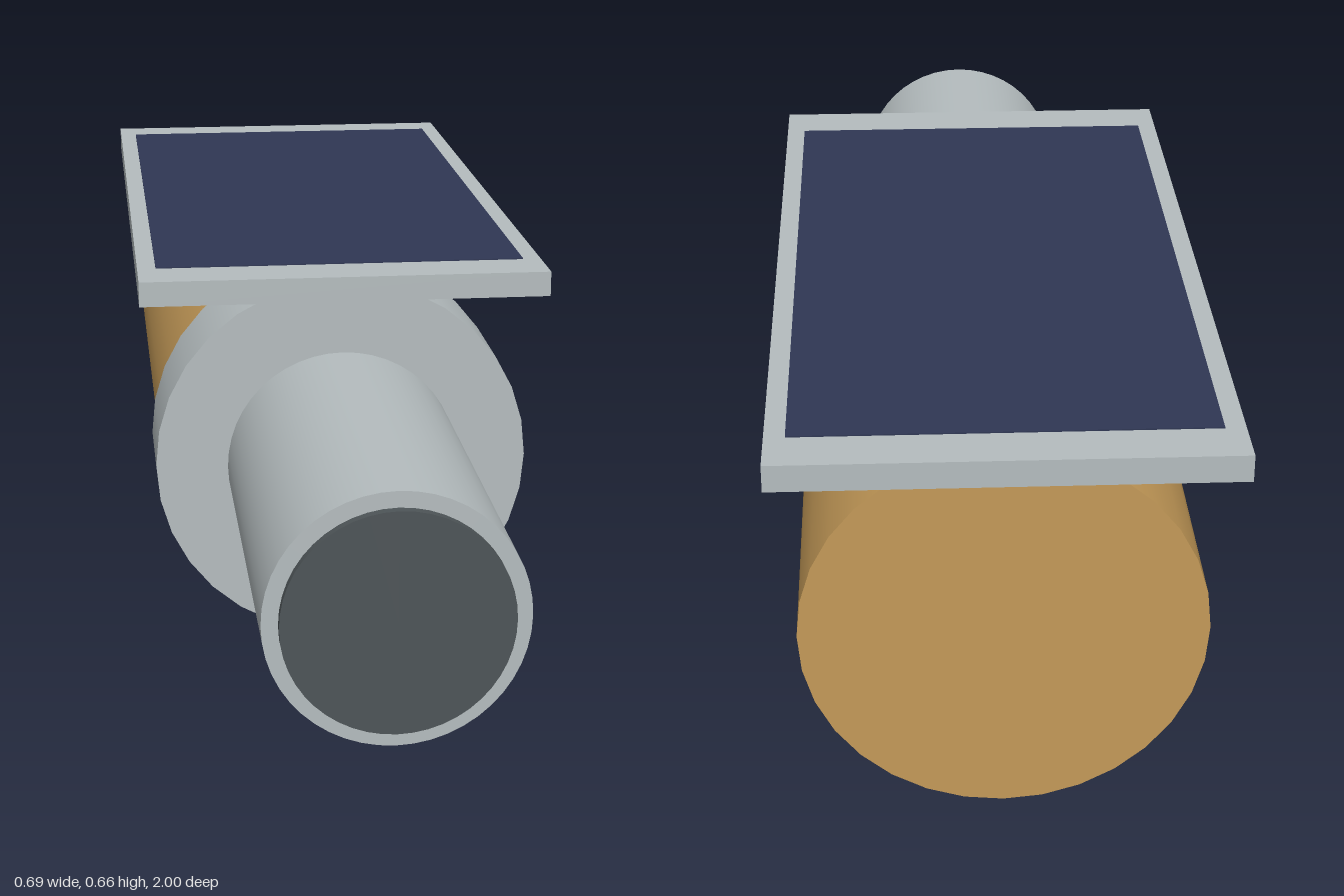
import * as THREE from 'three';

const AXIS_Y = 0.32; // height of the shared centre line

export function createModel() {
  const model = new THREE.Group();
  const paint = (name, color) => {
    const m = new THREE.MeshStandardMaterial({ color });
    m.name = name;
    return m;
  };
  const grey = paint('light grey metal', 0xb5bdbf);
  const ochre = paint('ochre foil', 0xc49a58);
  const glass = paint('dark glass', 0x4e5558);
  const navy = paint('navy solar cells', 0x2f3754);

  // Closed cylinder lying along z from z0 to z1
  const drum = (name, radius, z0, z1, sides, material) => {
    const geo = new THREE.CylinderGeometry(radius, radius, z1 - z0, sides);
    geo.rotateX(Math.PI / 2);
    const mesh = new THREE.Mesh(geo, material);
    mesh.name = name;
    mesh.position.set(0, AXIS_Y, (z0 + z1) / 2);
    model.add(mesh);
  };

  // Flat plate between the given heights and depths
  const plate = (name, width, y0, y1, z0, z1, material) => {
    const mesh = new THREE.Mesh(new THREE.BoxGeometry(width, y1 - y0, z1 - z0), material);
    mesh.name = name;
    mesh.position.set(0, (y0 + y1) / 2, (z0 + z1) / 2);
    model.add(mesh);
  };

  // Body, collar and front tube, with a narrow gap before the tube
  drum('body', 0.308, -0.91, 0.088, 32, ochre);
  drum('collar', 0.319, 0.087, 0.274, 32, grey);
  drum('frontTube', 0.197, 0.288, 0.985, 48, grey);
  drum('lens', 0.172, 0.98, 1.0, 48, glass);

  // Solar panel on top
  plate('panelFrame', 0.686, 0.621, 0.663, -1.0, 0.345, grey);
  plate('solarCells', 0.624, 0.66, 0.665, -0.92, 0.255, navy);

  return model;
}
